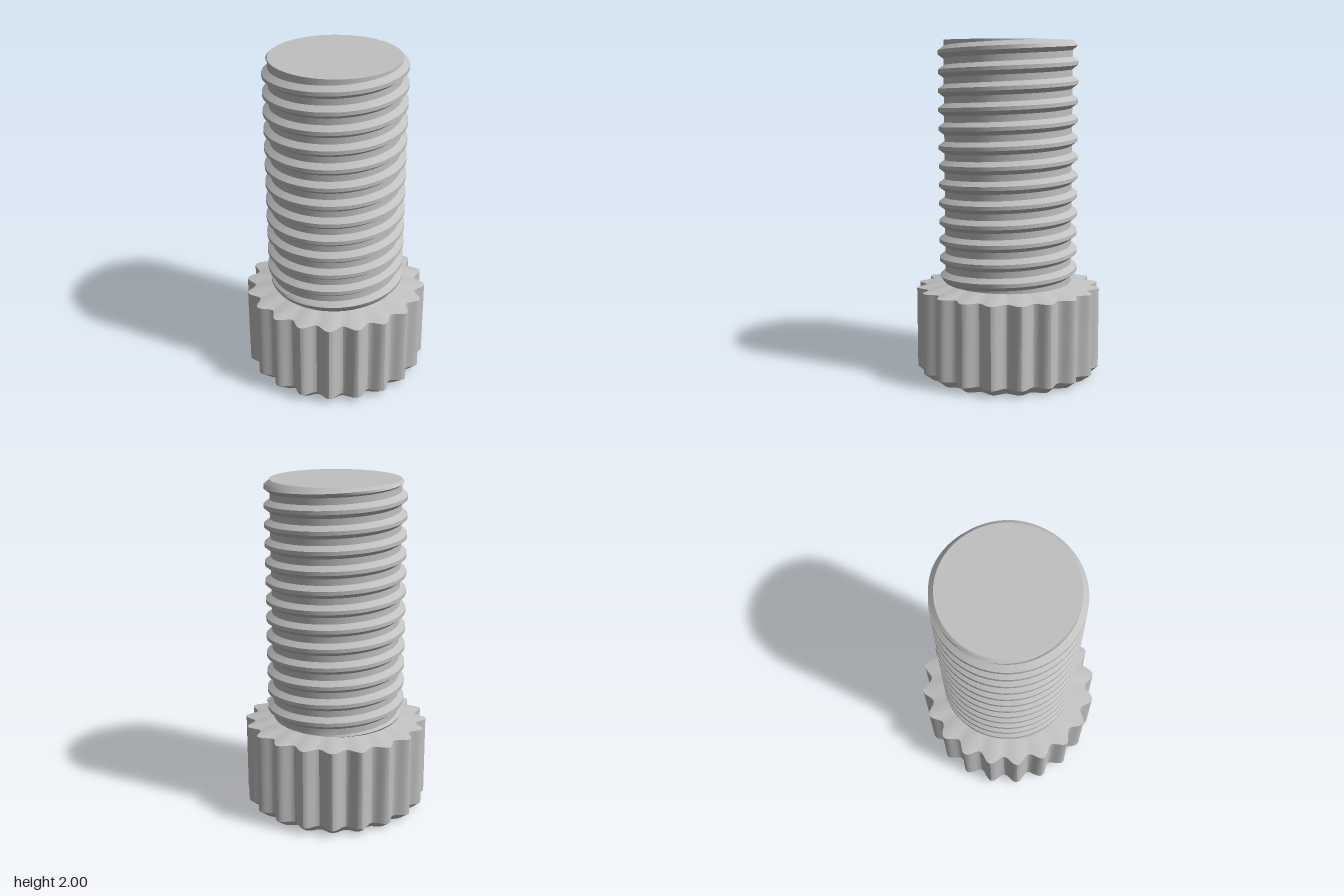
import * as THREE from 'three';
import { toCreasedNormals } from 'three/addons/utils/BufferGeometryUtils.js';

// Closed surface of revolution-like rows: point(row, angle) returns [radius, y]
function ringSurface(rowCount, segments, point, crease) {
  const pos = [];
  const at = (row, s) => {
    const a = ((s % segments) / segments) * Math.PI * 2;
    const [r, y] = point(row, s === segments ? Math.PI * 2 : a);
    return new THREE.Vector3(r * Math.sin(a), y, r * Math.cos(a));
  };
  const tri = (a, b, c) => {
    const area = b.clone().sub(a).cross(c.clone().sub(a)).length();
    if (area > 1e-9) pos.push(...a.toArray(), ...b.toArray(), ...c.toArray());
  };
  for (let row = 0; row < rowCount - 1; row++) {
    for (let s = 0; s < segments; s++) {
      const a = at(row, s), b = at(row, s + 1);
      const c = at(row + 1, s + 1), d = at(row + 1, s);
      tri(a, b, c);
      tri(a, c, d);
    }
  }
  const geo = new THREE.BufferGeometry();
  geo.setAttribute('position', new THREE.Float32BufferAttribute(pos, 3));
  return toCreasedNormals(geo, crease);
}

export function createModel() {
  const group = new THREE.Group();
  group.name = 'thumbScrew';
  const steel = new THREE.MeshStandardMaterial({ color: 0xc0c0c0 });
  steel.name = 'steel grey';

  // Scalloped grip head: each row is [mean radius, lobe height, y]
  const lobes = 20;
  const headRows = [
    [0, 0, 0], [0.479, 0.018, 0], [0.525, 0.028, 0.042],
    [0.525, 0.028, 0.53], [0.37, 0, 0.565],
  ];
  const head = new THREE.Mesh(
    ringSurface(headRows.length, lobes * 12, (row, a) => {
      const [r, lobe, y] = headRows[row];
      return [r + lobe * Math.cos(a * lobes), y];
    }, 0.5), steel);
  head.name = 'scallopedHead';
  group.add(head);

  // Shank with a right-handed helical thread, tapered out at both ends
  const root = 0.38, crest = 0.414, pitch = 0.1115;
  const bottom = 0.55, top = 2, frontCrest = 1.935;
  const profile = [
    [-0.037, root], [-0.024, (root + crest) / 2], [-0.011, crest],
    [0.011, crest], [0.024, (root + crest) / 2], [0.037, root],
  ];
  const rows = [];
  for (let turn = -14; turn <= 2; turn++) {
    for (const [dy, r] of profile) rows.push([r, frontCrest + turn * pitch + dy]);
  }
  const shank = new THREE.Mesh(
    ringSurface(rows.length, 120, (row, a) => {
      const [r, y0] = rows[row];
      const y = THREE.MathUtils.clamp(y0 + (pitch * a) / (Math.PI * 2), bottom, top);
      return [Math.min(r, root + (top - y), root + (y - bottom) * 0.6), y];
    }, 0.45), steel);
  shank.name = 'threadedShank';
  group.add(shank);

  // Flat end of the shank
  const end = new THREE.Mesh(new THREE.CircleGeometry(root, 120), steel);
  end.name = 'shankEnd';
  end.rotation.x = -Math.PI / 2;
  end.position.y = top;
  group.add(end);

  return group;
}
